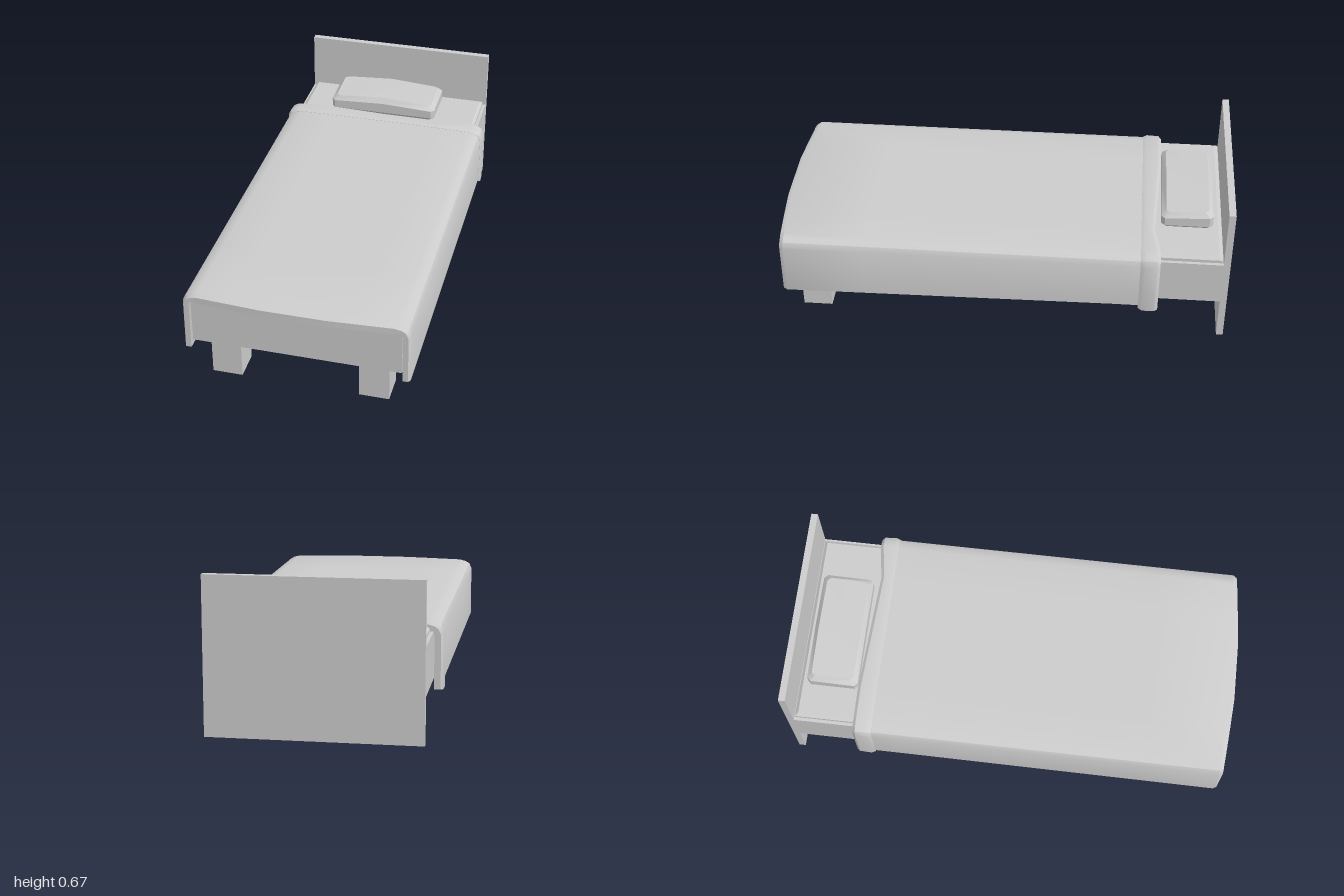
import * as THREE from 'three';
import { toCreasedNormals } from 'three/addons/utils/BufferGeometryUtils.js';

// Skin a stack of closed rings; each ring is two facing rows, so point i pairs with point n-1-i.
function loft(rings) {
  const n = rings[0].length, last = rings.length - 1, pos = [];
  const quad = (a, b, c, d) => pos.push(...a, ...b, ...c, ...a, ...c, ...d);
  for (let k = 0; k < last; k++) {
    for (let i = 0; i < n; i++) {
      const j = (i + 1) % n;
      quad(rings[k][i], rings[k][j], rings[k + 1][j], rings[k + 1][i]);
    }
  }
  for (let i = 0; i < n / 2 - 1; i++) {
    const [s, e] = [rings[0], rings[last]];
    quad(e[i], e[i + 1], e[n - 2 - i], e[n - 1 - i]);
    quad(s[n - 1 - i], s[n - 2 - i], s[i + 1], s[i]);
  }
  const geo = new THREE.BufferGeometry();
  geo.setAttribute('position', new THREE.Float32BufferAttribute(pos, 3));
  return toCreasedNormals(geo, 0.5);
}

// Right half of the draped cloth section: outer and inner rows, hem to centre
const OUTER = [[0.487, 0], [0.485, 0.395], [0.474, 0.418], [0.455, 0.43], [0.425, 0.437], [0.27, 0.439], [0.14, 0.44]];
const INNER = [[0.456, 0], [0.454, 0.385], [0.452, 0.396], [0.45, 0.402], [0.42, 0.402], [0.27, 0.402], [0.14, 0.402]];

// One cloth section at depth z; grow thickens it, bend(x) shifts it along z
function drape({ z, hem, grow = 0, bend = () => 0 }) {
  const row = (half, g) => {
    const right = half.map(([x, y], i) => [x + (i < 5 ? g : 0), i ? y + g : hem]);
    const left = right.map(([x, y]) => [-x, y]).reverse();
    return [...right, ...left].map(([x, y]) => [x, y, z + bend(x)]);
  };
  return [...row(OUTER, grow), ...row(INNER, 0).reverse()];
}

export function createModel() {
  const group = new THREE.Group();
  const grey = new THREE.MeshStandardMaterial({ color: 0xcccccc });
  grey.name = 'plain grey';

  const add = (name, geo) => {
    const mesh = new THREE.Mesh(geo, grey);
    mesh.name = name;
    group.add(mesh);
    return mesh;
  };
  const box = (name, x0, x1, y0, y1, z0, z1) =>
    add(name, new THREE.BoxGeometry(x1 - x0, y1 - y0, z1 - z0))
      .position.set((x0 + x1) / 2, (y0 + y1) / 2, (z0 + z1) / 2);

  // Frame
  box('headboard', -0.45, 0.45, 0, 0.67, -1, -0.97);
  box('bedBase', -0.45, 0.45, 0.195, 0.4, -0.97, 0.96);
  box('leftLeg', 0.257, 0.388, 0, 0.195, 0.78, 0.91);
  box('rightLeg', -0.388, -0.257, 0, 0.195, 0.78, 0.91);

  // Mattress top with a bevelled rim
  const slab = (y, inset) => {
    const x = 0.435 - inset, zb = -0.965 + inset, zf = 0.94 - inset;
    return [[-x, y, zf], [x, y, zf], [x, y, zb], [-x, y, zb]];
  };
  add('mattress', loft([slab(0.398, 0), slab(0.414, 0), slab(0.425, 0.014)]));

  // Blanket, bowed outward at the foot end
  const bow = (x) => 0.024 * Math.min(1, Math.max(0, (0.45 - Math.abs(x)) / 0.3));
  add('blanket', loft([
    drape({ z: -0.66, hem: 0.18 }),
    drape({ z: -0.5, hem: 0.18 }),
    drape({ z: 0.6, hem: 0.165 }),
    drape({ z: 0.955, hem: 0.16, bend: bow }),
    drape({ z: 0.972, hem: 0.163, grow: -0.008, bend: bow }),
  ]));

  // Turned-down fold with a wavy back edge
  const wave = (x) => (Math.abs(x) < 0.3 ? 0.012 + 0.05 * x : 0);
  add('blanketFold', loft([
    drape({ z: -0.698, hem: 0.158, grow: -0.004, bend: wave }),
    drape({ z: -0.685, hem: 0.156, grow: 0.005, bend: wave }),
    drape({ z: -0.63, hem: 0.155, grow: 0.007 }),
    drape({ z: -0.612, hem: 0.165, grow: 0.001 }),
  ]));

  // Pillow with cut corners and an arched top
  const pillowRing = (y, inset, arch, tilt) => {
    const w = 0.26 - inset, d = 0.115 - inset, c = 0.016;
    const row = (s) => [[-w, d - c], [-w + c, d], [0, d], [w - c, d], [w, d - c]]
      .map(([x, z]) => [x - 0.025, y + (x === 0 ? arch : 0) - s * tilt, s * z - 0.812]);
    return [...row(1), ...row(-1).reverse()];
  };
  add('pillow', loft([
    pillowRing(0.424, 0.012, 0, 0),
    pillowRing(0.438, 0, 0, 0),
    pillowRing(0.48, 0, 0.011, 0.004),
    pillowRing(0.5, 0.02, 0.015, 0.004),
  ]));

  return group;
}
